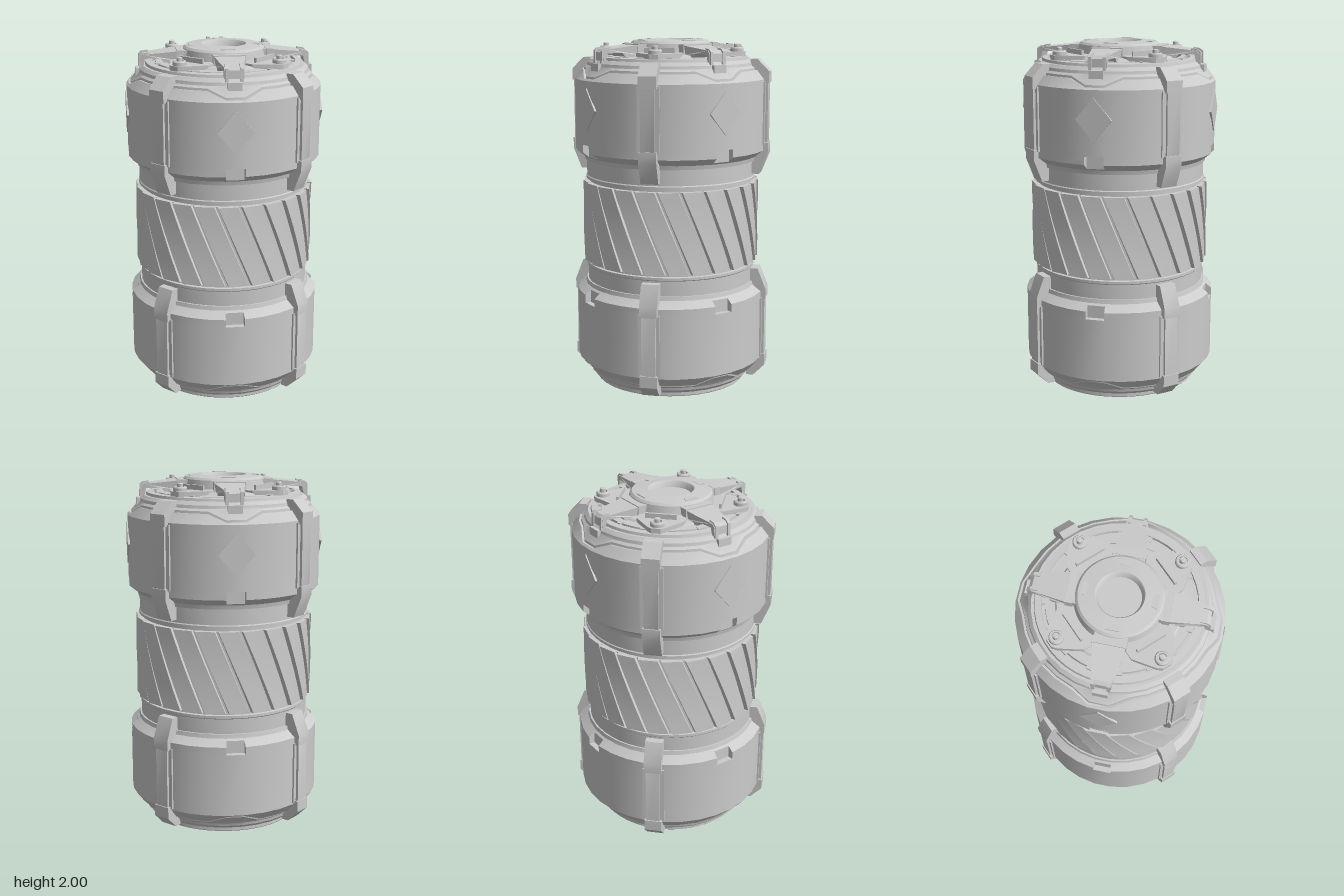
import * as THREE from 'three';
import { toCreasedNormals } from 'three/addons/utils/BufferGeometryUtils.js';

const mat = new THREE.MeshStandardMaterial({ color: 0xcccccc });
const SIDES = 32;
const TAU = Math.PI * 2;

function mesh(name, geo, parent, crease = 0.5) {
  const m = new THREE.Mesh(toCreasedNormals(geo, crease), mat);
  m.name = name;
  parent.add(m);
  return m;
}

// Solid of revolution from [radius, y] pairs running up the outside
function lathe(name, pts, parent, sides = SIDES) {
  const geo = new THREE.LatheGeometry(pts.map(p => new THREE.Vector2(...p)), sides, TAU / sides / 2);
  return mesh(name, geo, parent);
}

function box(name, [w, h, d], [x, y, z], parent) {
  const m = mesh(name, new THREE.BoxGeometry(w, h, d), parent);
  m.position.set(x, y, z);
  return m;
}

// Extruded outline, centred on its depth
function slab(name, pts, depth, parent, rule) {
  const geo = new THREE.ExtrudeGeometry(new THREE.Shape(pts.map(p => new THREE.Vector2(...p))),
    { depth, bevelEnabled: false });
  geo.translate(0, 0, -depth / 2);
  if (rule) {
    const p = geo.attributes.position;
    for (let i = 0; i < p.count; i++) p.setZ(i, p.getZ(i) * rule(p.getX(i)));
  }
  return mesh(name, geo, parent);
}

// Repeat a part round the axis
function around(count, start, parent, build) {
  for (let i = 0; i < count; i++) {
    const g = new THREE.Group();
    g.rotation.y = start + i * TAU / count;
    parent.add(g);
    build(g, i);
  }
}

// Housing shell: the trim seam dips and the lower edge is notched at four faces
function housingGeometry() {
  const profile = (dip, notch) => {
    const seamR = dip ? 0.541 : 0.511, seamY = dip ? 1.79 : 1.832;
    return [
      [0.46, 1.315], [0.5, 1.315], [0.505, 1.338],
      ...(notch ? [[0.518, 1.348], [0.518, 1.42]] : [[0.53, 1.358], [0.552, 1.375]]),
      [0.552, 1.42], [0.552, 1.78], [seamR, seamY], [seamR - 0.012, seamY - 0.001],
      [seamR - 0.014, seamY + 0.012], [0.482, 1.855], [0.478, 1.872], [0.46, 1.89], [0, 1.89],
    ];
  };
  const columns = [];
  for (let k = 0; k <= SIDES; k++) {
    const a = (k + 0.5) * TAU / SIDES, m = k % 8;
    const dip = m === 0 || m === 7;
    if (m === 0) columns.push([a, profile(dip, true)]);
    columns.push([a, profile(dip, false)]);
    if (m === 7) columns.push([a, profile(dip, true)]);
  }
  const pos = [], idx = [], n = columns[0][1].length;
  columns.forEach(([a, pts], c) => {
    for (const [r, y] of pts) pos.push(r * Math.sin(a), y, r * Math.cos(a));
    if (c === columns.length - 1) return;
    for (let j = 0; j < n - 1; j++) {
      const p = c * n + j, q = p + n;
      idx.push(p, q, q + 1, p, q + 1, p + 1);
    }
  });
  const geo = new THREE.BufferGeometry();
  geo.setAttribute('position', new THREE.Float32BufferAttribute(pos, 3));
  geo.setIndex(idx);
  return geo;
}

// One end of the canister with its four corner brackets
function endHousing(name) {
  const g = new THREE.Group();
  g.name = name;
  mesh('housingShell', housingGeometry(), g);
  around(4, Math.PI / 4, g, b => {
    b.name = 'bracket';
    slab('bracketBar', [[0.47, 1.25], [0.525, 1.25], [0.572, 1.37], [0.572, 1.82], [0.505, 1.885],
      [0.47, 1.885]], 0.08, b);
    slab('bracketLowerEnd', [[0.47, 1.24], [0.53, 1.24], [0.578, 1.36], [0.578, 1.42], [0.47, 1.42]], 0.1, b);
    slab('bracketUpperEnd', [[0.47, 1.76], [0.578, 1.76], [0.578, 1.825], [0.512, 1.892], [0.47, 1.892]], 0.1, b);
    box('bracketBacking', [0.06, 0.36, 0.125], [0.528, 1.59, 0], b);
  });
  return g;
}

// Sawtooth grip with slanted ribs
function gripGeometry(ribs = 24, rows = 10) {
  const phase = [0, 0.05, 0.88, 0.91], radius = [0.49, 0.514, 0.505, 0.49];
  const geo = new THREE.CylinderGeometry(1, 1, 1, ribs * 4, rows, true);
  const p = geo.attributes.position, cols = ribs * 4 + 1;
  for (let i = 0; i < p.count; i++) {
    const row = Math.floor(i / cols), c = i % cols;
    const t = THREE.MathUtils.clamp((row - 1) / (rows - 2), 0, 1);
    const a = (Math.floor(c / 4) + phase[c % 4]) * TAU / ribs + (t - 0.5) * 0.38;
    const r = row === 0 || row === rows ? 0.47 : radius[c % 4];
    p.setXYZ(i, r * Math.sin(a), 1.19 - 0.465 * t, r * Math.cos(a));
  }
  return geo;
}

function buildLid(parent) {
  const lid = new THREE.Group();
  lid.name = 'lid';
  parent.add(lid);
  lathe('lidPlate', [[0.447, 1.88], [0.44, 1.905], [0.405, 1.908], [0.402, 1.88], [0.388, 1.88],
    [0.385, 1.908], [0.335, 1.91], [0.325, 1.92], [0.26, 1.925], [0, 1.925]], lid, 48);
  lathe('hub', [[0.24, 1.92], [0.228, 1.98], [0.216, 1.992], [0.128, 2], [0.122, 1.994],
    [0.112, 1.965], [0, 1.965]], lid, 48);
  around(4, 0, lid, a => {
    // Sloping arm, open under its outer end
    a.name = 'arm';
    slab('armBeam', [[0.19, 1.91], [0.335, 1.9], [0.36, 1.932], [0.445, 1.93], [0.455, 1.89], [0.472, 1.89],
      [0.472, 1.935], [0.455, 1.952], [0.27, 1.972], [0.19, 1.978]], 0.17, a,
      r => 1 - 0.38 * THREE.MathUtils.clamp((r - 0.27) / 0.19, 0, 1));
    box('armCollar', [0.04, 0.055, 0.176], [0.25, 1.95, 0], a);
    for (const s of [-1, 1]) {
      slab('armProng', [[0.425, 1.93], [0.455, 1.93], [0.465, 1.875], [0.48, 1.875], [0.478, 1.945],
        [0.46, 1.96], [0.425, 1.964]], 0.018, a).position.z = s * 0.04;
    }
    box('clip', [0.022, 0.05, 0.08], [0.488, 1.85, 0], a);
    slab('hubTab', [[0.165, -0.03], [0.198, -0.04], [0.198, 0.04], [0.165, 0.03]], 0.006, a)
      .rotation.x = -Math.PI / 2;
    a.children.at(-1).position.y = 1.995;
  });
  around(4, Math.PI / 4, lid, b => {
    // Bolt pad between the arms
    b.name = 'boltPad';
    const pad = slab('pad', [[0.2, -0.13], [0.3, -0.13], [0.41, -0.05], [0.43, -0.025], [0.43, 0.025],
      [0.41, 0.05], [0.3, 0.13], [0.2, 0.13]], 0.03, b);
    pad.rotation.x = -Math.PI / 2;
    pad.position.y = 1.918;
    box('fin', [0.014, 0.04, 0.17], [0.285, 1.94, 0], b);
    const bolt = lathe('bolt', [[0.038, 1.92], [0.038, 1.95], [0.033, 1.957], [0.024, 1.957], [0.024, 1.945],
      [0.016, 1.945], [0.016, 1.972], [0.012, 1.976], [0, 1.976]], b, 20);
    bolt.position.x = 0.385;
  });
  around(16, TAU / 32, lid, t => box('rimTab', [0.03, 0.012, 0.03], [0.385, 1.905, 0], t));
}

export function createModel() {
  const root = new THREE.Group();
  root.name = 'canister';

  lathe('core', [[0.49, 0.56], [0.49, 0.69], [0.495, 0.695], [0.495, 0.71], [0.478, 0.712], [0.478, 1.203],
    [0.495, 1.205], [0.495, 1.22], [0.49, 1.225], [0.49, 1.36]], root, 48);
  mesh('grip', gripGeometry(), root, 0.35);

  const upper = endHousing('upperHousing');
  root.add(upper);
  // Flat diamond plates on the four faces
  around(4, 0, upper, d => {
    const plate = slab('diamondPlate', [[-0.1, 1.62], [0, 1.5], [0.1, 1.62], [0, 1.74]], 0.012, d);
    plate.position.z = 0.55;
  });
  buildLid(root);

  // The lower end is the same housing turned over
  const lower = endHousing('lowerHousing');
  lower.rotation.x = Math.PI;
  lower.position.y = 1.92;
  root.add(lower);
  lathe('footRing', [[0.445, 1.88], [0.445, 1.915], [0.44, 1.92], [0.405, 1.92], [0.4, 1.885]], lower, 48);
  // Tread bumps on the underside
  for (let i = -5; i <= 5; i++) {
    for (let j = -5; j <= 5; j++) {
      const x = i * 0.072, z = j * 0.072;
      if ((i + j) % 2 || Math.hypot(x, z) > 0.36) continue;
      box('tread', [0.045, 0.012, 0.022], [x, 1.892, z], lower).rotation.y = i % 2 ? 0.78 : -0.78;
    }
  }
  return root;
}
